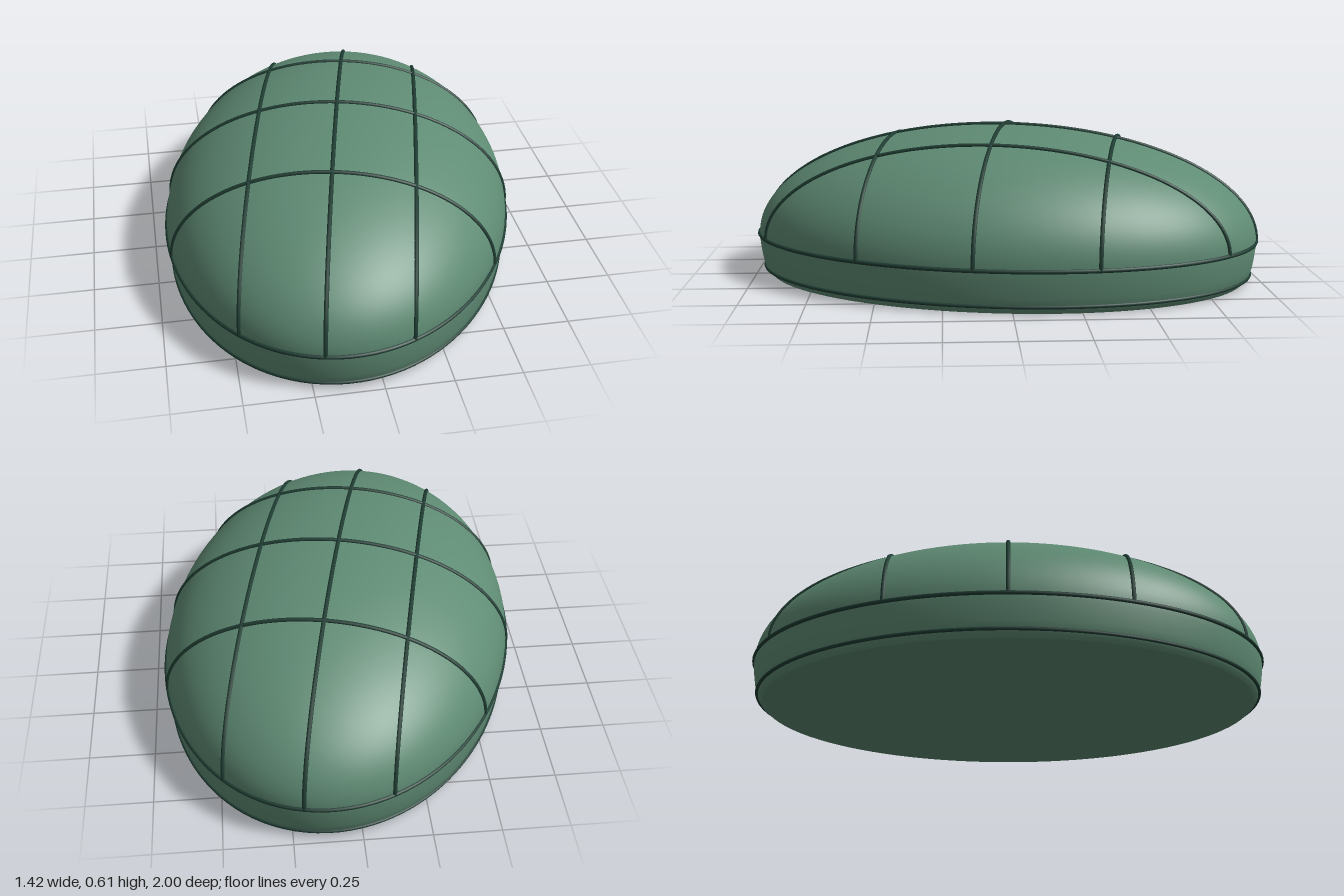
import * as THREE from 'three';

const A = 0.683, B = 1.006;        // half width and half length of the oval
const WAIST = 0.16, RISE = 0.441;  // height of the waist seam, dome height above it
const SEAM = 0.008;                // seam radius

// Tube along a curve given as a function of t in 0..1
function seamTube(pointAt, closed, radius, material, name) {
  const points = [];
  const n = 64;
  for (let i = 0; i < (closed ? n : n + 1); i++) points.push(pointAt(i / n));
  const path = new THREE.CatmullRomCurve3(points, closed);
  const mesh = new THREE.Mesh(new THREE.TubeGeometry(path, 128, radius, 8, closed), material);
  mesh.name = name;
  return mesh;
}

export function createModel() {
  const shellGreen = new THREE.MeshStandardMaterial({ color: 0x5f8b74 });
  shellGreen.name = 'shell green';
  const seamGreen = new THREE.MeshStandardMaterial({ color: 0x1f3d33 });
  seamGreen.name = 'seam dark green';

  const model = new THREE.Group();
  model.name = 'paddedDome';
  const body = new THREE.Group();
  body.name = 'body';
  body.rotation.y = -THREE.MathUtils.degToRad(12);
  model.add(body);

  // Dome with a slightly tucked-in side wall, turned round and stretched to an oval
  const profile = [[0.955, 0], [0.968, 0.012], [0.979, 0.03], [0.988, 0.06], [0.995, 0.1], [0.999, 0.135]]
    .map(([r, y]) => new THREE.Vector2(r, y));
  for (let i = 0; i <= 32; i++) {
    const t = (i / 32) * Math.PI / 2;
    profile.push(new THREE.Vector2(i === 32 ? 0 : Math.cos(t), WAIST + RISE * Math.sin(t)));
  }
  const shell = new THREE.Mesh(new THREE.LatheGeometry(profile, 96).scale(A, 1, B), shellGreen);
  shell.name = 'shell';
  body.add(shell);

  // Flat underside
  const underside = new THREE.Mesh(
    new THREE.CircleGeometry(0.955, 96).rotateX(Math.PI / 2).scale(A, 1, B), shellGreen);
  underside.name = 'underside';
  body.add(underside);

  // Seams running all the way round
  const ring = (y, scale, radius, name) => body.add(seamTube((t) => {
    const a = t * Math.PI * 2;
    return new THREE.Vector3(A * scale * Math.cos(a), y, B * scale * Math.sin(a));
  }, true, radius, seamGreen, name));
  ring(WAIST, 1, SEAM, 'waistSeam');
  ring(0.028, 0.979, 0.007, 'baseSeam');

  // Seams arching over the dome, three each way
  for (const k of [-1, 0, 1]) {
    const u = k * 0.307, su = Math.sqrt(1 - (u / A) ** 2);
    body.add(seamTube((t) => new THREE.Vector3(
      u, WAIST + (RISE + 0.002) * su * Math.sin(t * Math.PI), B * su * Math.cos(t * Math.PI)
    ), false, SEAM, seamGreen, 'lengthwiseSeam'));

    const v = k * 0.447, sv = Math.sqrt(1 - (v / B) ** 2);
    body.add(seamTube((t) => new THREE.Vector3(
      A * sv * Math.cos(t * Math.PI), WAIST + (RISE + 0.002) * sv * Math.sin(t * Math.PI), v
    ), false, SEAM, seamGreen, 'crosswiseSeam'));
  }

  return model;
}
